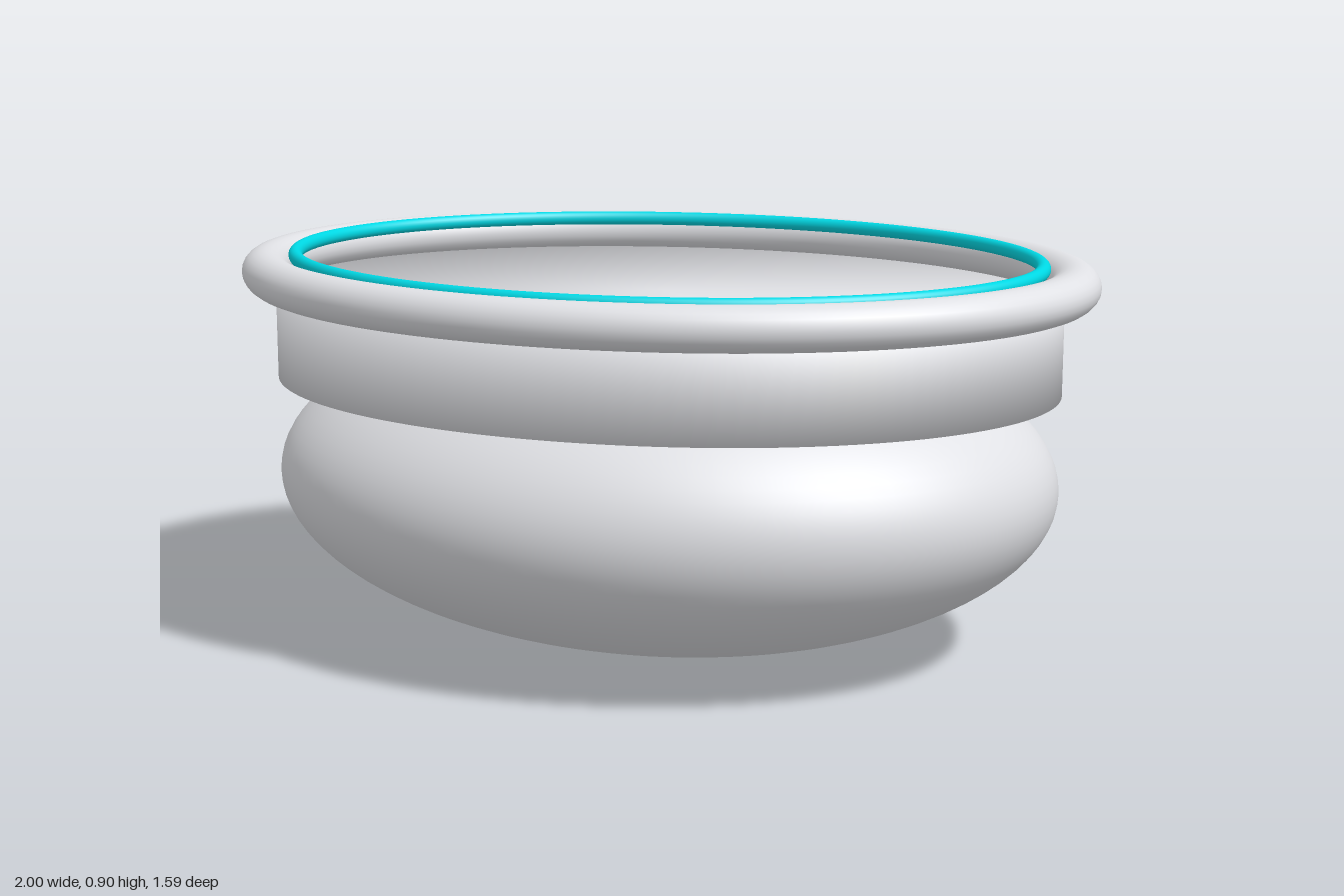
import * as THREE from 'three';

const DEPTH = 0.797; // z to x ratio of the oval plan

export function createModel() {
  const group = new THREE.Group();
  const shell = new THREE.MeshStandardMaterial({ color: 0xe0e1e5 });
  shell.name = 'pale grey';
  const accent = new THREE.MeshStandardMaterial({ color: 0x00d8e4 });
  accent.name = 'teal';

  const add = (name, geometry, material, y) => {
    const mesh = new THREE.Mesh(geometry, material);
    mesh.name = name;
    mesh.position.y = y;
    group.add(mesh);
  };

  // horizontal oval ring with its own tube width and height
  const ovalRing = (radius, width, height) =>
    new THREE.TorusGeometry(radius, width, 24, 128)
      .rotateX(Math.PI / 2).scale(1, height / width, DEPTH);

  // rounded lower body
  add('body', new THREE.SphereGeometry(1, 96, 48).scale(0.92, 0.385, 0.735), shell, 0.385);

  // closed collar with a flat floor; normals run softly over both edges
  const radius = 0.92, bottom = 0.605, top = 0.81;
  const collar = new THREE.CylinderGeometry(radius, radius, top - bottom, 128);
  const { position, normal } = collar.attributes;
  const n = new THREE.Vector3();
  for (let i = 0; i < position.count; i++) {
    n.fromBufferAttribute(position, i).setY(Math.sign(position.getY(i)) * radius).normalize();
    normal.setXYZ(i, n.x, n.y, n.z);
  }
  add('collar', collar.scale(1, 1, DEPTH), shell, (bottom + top) / 2);

  // rolled rim and the thin trim inside it
  add('rim', ovalRing(0.942, 0.058, 0.049), shell, 0.85);
  add('trimRing', ovalRing(0.871, 0.0165, 0.0165), accent, 0.887);

  return group;
}
